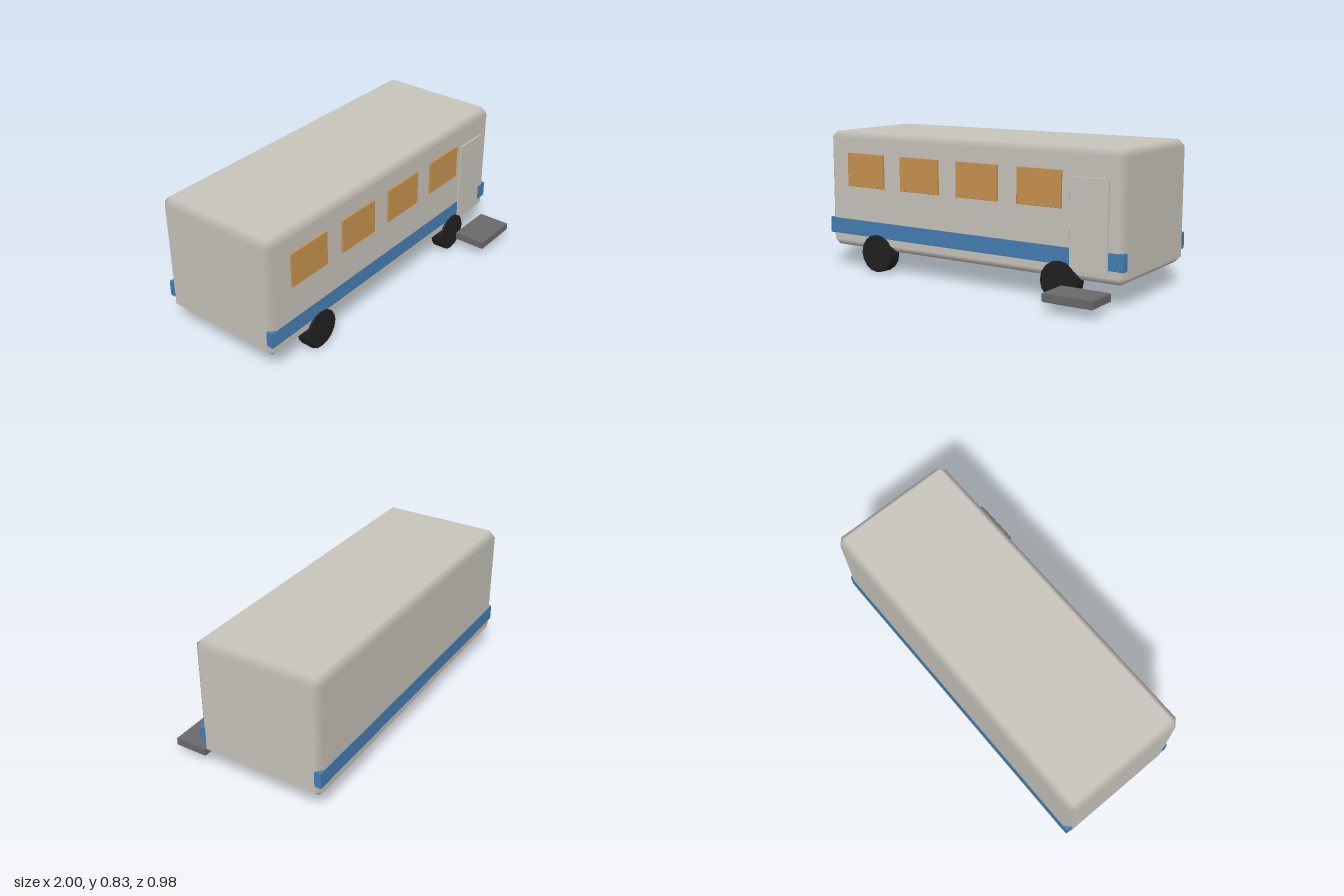
import * as THREE from 'three';
import { ConvexGeometry } from 'three/addons/geometries/ConvexGeometry.js';

const material = (name, color) => Object.assign(new THREE.MeshStandardMaterial({ color }), { name });

// Box with one 45 degree bevel; flat faces keep their normals, bevels blend between them
function bevelBox(size, bevel) {
  const half = size.map((s) => s / 2);
  const points = [];
  for (const sx of [-1, 1]) for (const sy of [-1, 1]) for (const sz of [-1, 1]) {
    const signs = [sx, sy, sz];
    for (let axis = 0; axis < 3; axis++) {
      points.push(new THREE.Vector3(...half.map((h, i) => signs[i] * (i === axis ? h : h - bevel))));
    }
  }
  const geometry = new ConvexGeometry(points);
  const { position, normal } = geometry.attributes;
  for (let v = 0; v < position.count; v++) {
    const p = [position.getX(v), position.getY(v), position.getZ(v)];
    const n = p.map((c, i) => (Math.abs(c) > half[i] - bevel / 2 ? Math.sign(c) : 0));
    normal.setXYZ(v, ...n);
  }
  return geometry;
}

export function createModel() {
  const model = new THREE.Group();
  model.name = 'trailer';
  const cream = material('cream', 0xc9c5bd);
  const blue = material('blue', 0x467fb5);
  const amber = material('amber', 0xc9934f);
  const black = material('black', 0x202020);
  const grey = material('grey', 0x6a6a6a);

  const add = (name, geometry, mat, x, y, z) => {
    const mesh = new THREE.Mesh(geometry, mat);
    mesh.name = name;
    mesh.position.set(x, y, z);
    model.add(mesh);
    return mesh;
  };
  // Bevelled block given by its lower and upper corners
  const block = (name, mat, lo, hi, bevel) => add(
    name, bevelBox(hi.map((h, i) => h - lo[i]), bevel), mat,
    ...hi.map((h, i) => (h + lo[i]) / 2));

  // Shell and the stripe around it
  block('body', cream, [-1, 0.13, -0.485], [1, 0.827, 0.265], 0.037);
  block('stripe', blue, [-0.999, 0.205, -0.488], [0.999, 0.301, 0.268], 0.004);

  // Row of windows on the front
  for (let i = 0; i < 4; i++) {
    const x = -0.84 + i * 0.4;
    block('window', amber, [x, 0.504, 0.255], [x + 0.275, 0.704, 0.277], 0.002);
  }

  // Door and the loose step before it
  block('door', cream, [0.685, 0.178, 0.255], [0.91, 0.677, 0.275], 0.002);
  block('step', grey, [0.65, 0.055, 0.292], [0.945, 0.102, 0.49], 0.005);

  // Two wheels on the door side
  const wheel = new THREE.CylinderGeometry(0.1125, 0.1125, 0.074, 16).rotateX(Math.PI / 2);
  for (const x of [-0.625, 0.625]) add('wheel', wheel, black, x, 0.1125, 0.24);

  return model;
}
